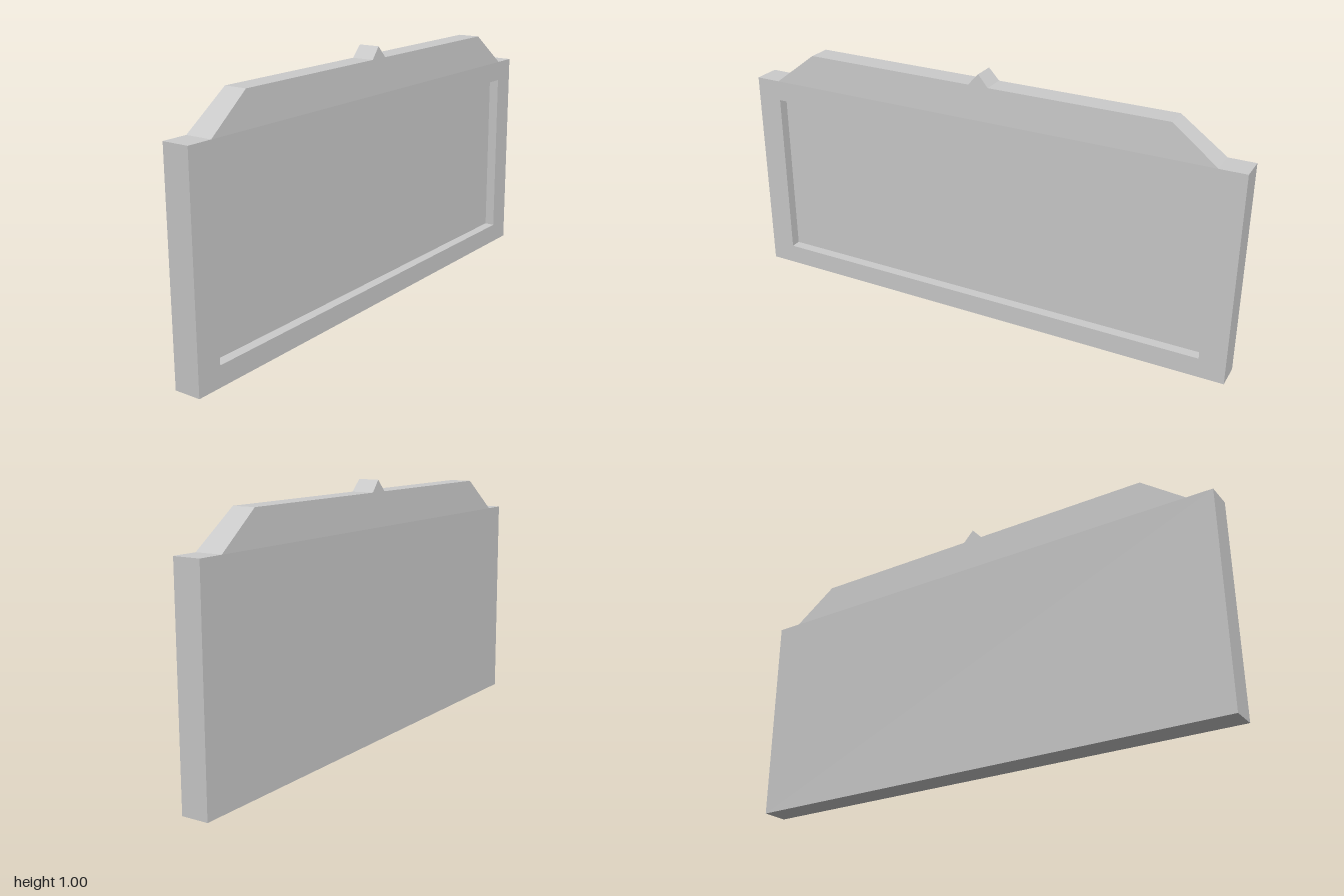
import * as THREE from 'three';

const HALF = 0.0525;      // half thickness of the slab
const SHOULDER = 0.825;   // height where the crest begins
const material = new THREE.MeshStandardMaterial({ color: 0xcccccc, flatShading: true });

// Slab with a recessed panel on +x: rectangular rings joined from the back face to the recess floor
function slabGeometry() {
  const outer = [1, 0, SHOULDER], inner = [0.9, 0.078, 0.745];
  const rings = [[-HALF, ...outer], [HALF, ...outer], [HALF, ...inner], [HALF - 0.04, ...inner]]
    .map(([x, z, y0, y1]) => [[x, y0, z], [x, y0, -z], [x, y1, -z], [x, y1, z]]);
  const positions = [];
  const quad = (a, b, c, d) => positions.push(...a, ...b, ...c, ...a, ...c, ...d);
  for (let r = 0; r < rings.length - 1; r++) {
    for (let i = 0; i < 4; i++) {
      const j = (i + 1) % 4;
      quad(rings[r][i], rings[r][j], rings[r + 1][j], rings[r + 1][i]);
    }
  }
  quad(...[...rings[0]].reverse());   // back face
  quad(...rings[rings.length - 1]);   // recess floor
  const geometry = new THREE.BufferGeometry();
  geometry.setAttribute('position', new THREE.Float32BufferAttribute(positions, 3));
  geometry.computeVertexNormals();
  return geometry;
}

// Sloped crest with a small central peak, thinning toward the top
function crestGeometry() {
  const half = [[0.9, SHOULDER], [0.728, 0.955], [0.04, 0.955]];
  const outline = [...half, [0, 1], ...half.map(([z, y]) => [-z, y]).reverse()];
  const shape = new THREE.Shape(outline.map(([z, y]) => new THREE.Vector2(z, y)));
  const geometry = new THREE.ExtrudeGeometry(shape, { depth: 2 * HALF, bevelEnabled: false });
  geometry.translate(0, 0, -HALF).rotateY(Math.PI / 2);
  const p = geometry.attributes.position;
  for (let i = 0; i < p.count; i++) {
    const t = (p.getY(i) - SHOULDER) / (1 - SHOULDER);
    p.setX(i, p.getX(i) * (1 - 0.2 * t));
  }
  geometry.computeVertexNormals();
  return geometry;
}

export function createModel() {
  const group = new THREE.Group();
  group.name = 'panelledSlab';
  for (const [name, geometry] of [['recessedSlab', slabGeometry()], ['peakedCrest', crestGeometry()]]) {
    const mesh = new THREE.Mesh(geometry, material);
    mesh.name = name;
    group.add(mesh);
  }
  return group;
}
